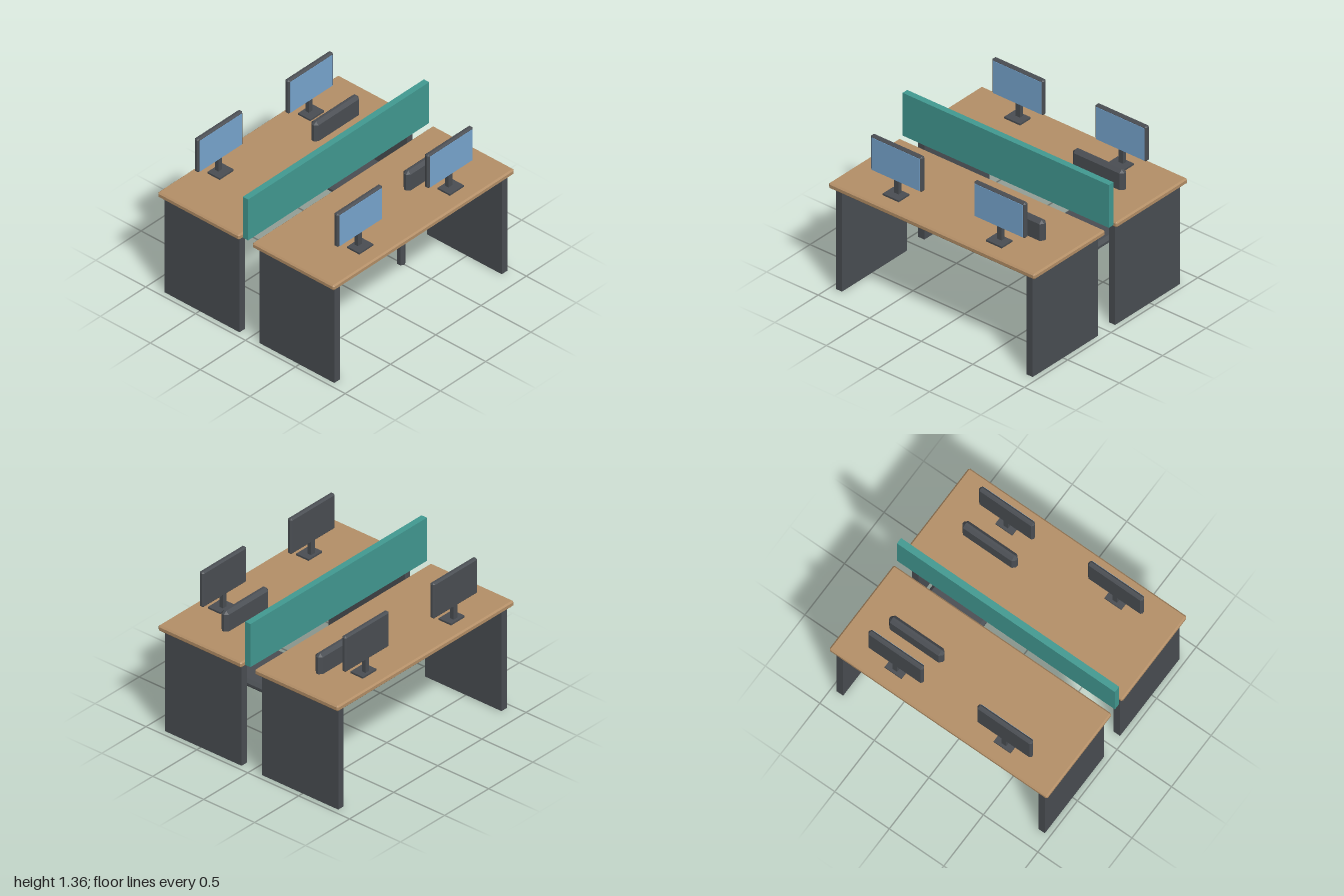
import * as THREE from 'three';
import { ConvexGeometry } from 'three/addons/geometries/ConvexGeometry.js';

function material(name, color) {
  const m = new THREE.MeshStandardMaterial({ color });
  m.name = name;
  return m;
}

// Box with every edge cut by a flat chamfer c
function chamferBox(w, h, d, c) {
  const points = [];
  for (const sx of [-1, 1]) for (const sy of [-1, 1]) for (const sz of [-1, 1]) {
    const x = w / 2, y = h / 2, z = d / 2;
    points.push(
      new THREE.Vector3(sx * x, sy * (y - c), sz * (z - c)),
      new THREE.Vector3(sx * (x - c), sy * y, sz * (z - c)),
      new THREE.Vector3(sx * (x - c), sy * (y - c), sz * z));
  }
  return new ConvexGeometry(points);
}

export function createModel() {
  const wood = material('wood', 0xb48f67);
  const dark = material('darkGrey', 0x4a4e53);
  const teal = material('tealPanel', 0x429a92);
  const glass = material('screenBlue', 0x78a6d0);

  const root = new THREE.Group();
  root.name = 'doubleWorkstation';

  function add(parent, name, geometry, mat, x, y, z) {
    const mesh = new THREE.Mesh(geometry, mat);
    mesh.name = name;
    mesh.position.set(x, y, z);
    parent.add(mesh);
    return mesh;
  }

  function group(name) {
    const g = new THREE.Group();
    g.name = name;
    root.add(g);
    return g;
  }

  // Two desks, each a chamfered top on two side panels
  for (const s of [1, -1]) {
    const desk = group('desk');
    add(desk, 'deskTop', chamferBox(2, 0.05, 0.82, 0.012), wood, 0, 0.905, s * 0.475);
    for (const side of [-1, 1]) {
      add(desk, 'sidePanel', new THREE.BoxGeometry(0.06, 0.88, 0.75), dark, side * 0.925, 0.44, s * 0.475);
    }
  }

  // Privacy divider between the desks
  add(root, 'divider', new THREE.BoxGeometry(2, 0.375, 0.053), teal, 0, 1.1175, 0);

  // Four monitors, all facing forward
  for (const z of [0.7, -0.7]) for (const x of [-0.5, 0.5]) {
    const monitor = group('monitor');
    monitor.position.set(x, 0.93, z);
    add(monitor, 'monitorBase', new THREE.BoxGeometry(0.155, 0.015, 0.122), dark, 0, 0.0075, -0.003);
    add(monitor, 'monitorPost', new THREE.BoxGeometry(0.042, 0.13, 0.034), dark, 0, 0.07, -0.024);
    add(monitor, 'monitorFrame', chamferBox(0.5, 0.31, 0.044, 0.013), dark, 0, 0.276, -0.023);
    add(monitor, 'screen', new THREE.BoxGeometry(0.466, 0.282, 0.004), glass, 0, 0.274, 0);
  }

  // Two chairs facing each other under the desks
  for (const s of [1, -1]) {
    const chair = group('chair');
    add(chair, 'seat', chamferBox(0.495, 0.07, 0.5, 0.025), dark, 0.5, 0.565, s * 0.2);
    add(chair, 'backrest', chamferBox(0.495, 0.5, 0.07, 0.025), dark, 0.5, 0.85, s * 0.462);
    const post = new THREE.CylinderGeometry(0.034, 0.034, 0.54, 6).toNonIndexed();
    post.computeVertexNormals();
    add(chair, 'chairPost', post, dark, 0.5, 0.27, s * 0.2);
  }

  return root;
}
